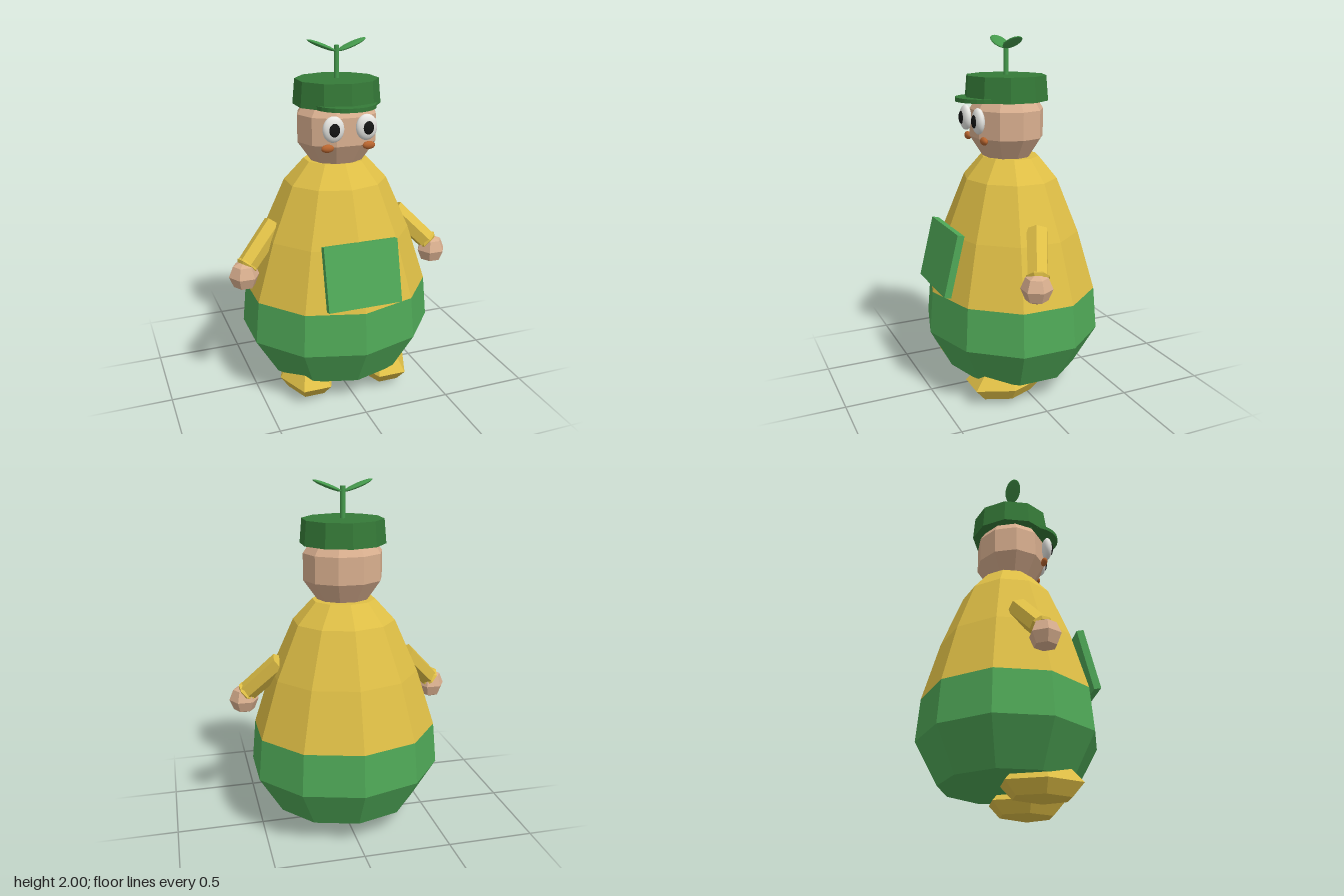
import * as THREE from 'three';

const flat = (name, color) => new THREE.MeshStandardMaterial({ name, color, flatShading: true });
const smooth = (name, color) => new THREE.MeshStandardMaterial({ name, color });

export function createModel() {
  const yellow = flat('yellow cloth', 0xdfbf46);
  const green = flat('green cloth', 0x4fa857);
  const darkGreen = flat('dark green hat', 0x357a38);
  const leafGreen = smooth('leaf green', 0x459a4c);
  const skin = flat('skin', 0xd9af8f);
  const white = smooth('eye white', 0xe6e6e2);
  const black = smooth('pupil black', 0x141414);
  const blush = smooth('cheek orange', 0xb8652f);

  const model = new THREE.Group();
  const add = (name, geometry, material, x = 0, y = 0, z = 0) => {
    const mesh = new THREE.Mesh(geometry, material);
    mesh.name = name;
    mesh.position.set(x, y, z);
    model.add(mesh);
    return mesh;
  };
  const ellipsoid = (rx, ry, rz, w, h) => new THREE.SphereGeometry(1, w, h).scale(rx, ry, rz);
  // Ten-sided body section, slightly wider than deep
  const section = (points) => new THREE.LatheGeometry(
    points.map(([r, y]) => new THREE.Vector2(r, y)), 10).scale(1.12, 1, 1);

  // Body
  add('lowerBody', section([[0, 0.13], [0.37, 0.13], [0.495, 0.36], [0.475, 0.6]]), green);
  add('upperBody', section([[0.475, 0.6], [0.38, 0.93], [0.26, 1.23], [0.16, 1.35], [0, 1.35]]), yellow);
  const pocket = add('frontPocket', new THREE.BoxGeometry(0.42, 0.35, 0.04), green, 0, 0.805, 0.418);
  pocket.rotation.x = -0.24;

  // Head
  add('head', ellipsoid(0.237, 0.243, 0.212, 10, 5), skin, 0, 1.535, 0.02);

  // Hat with brim and sprout
  add('hat', new THREE.CylinderGeometry(0.228, 0.24, 0.135, 10).scale(1, 1, 0.97), darkGreen, 0, 1.725, 0.022);
  add('hatBrim', new THREE.CylinderGeometry(0.17, 0.17, 0.022, 28), darkGreen, 0, 1.668, 0.14);
  add('sproutStem', new THREE.CylinderGeometry(0.014, 0.014, 0.19, 10), leafGreen, 0, 1.87, 0.022);

  for (const s of [1, -1]) {
    const side = s > 0 ? 'left' : 'right';

    // Sprout leaf
    const leaf = add(side + 'Leaf', ellipsoid(0.086, 0.012, 0.045, 20, 12), leafGreen, s * 0.085, 1.966, 0.022);
    leaf.rotation.z = s * 0.38;

    // Face
    add(side + 'Eye', ellipsoid(0.06, 0.07, 0.03, 20, 14), white, s * 0.093, 1.56, 0.225);
    add(side + 'Pupil', ellipsoid(0.03, 0.036, 0.012, 16, 10), black, s * 0.095, 1.56, 0.25);
    add(side + 'Cheek', ellipsoid(0.036, 0.022, 0.018, 14, 10), blush, s * 0.117, 1.455, 0.203);

    // Arm, cuff and hand
    const shoulder = new THREE.Vector3(s * 0.365, 1.0, 0.005);
    const wrist = new THREE.Vector3(s * 0.55, 0.81, 0.09);
    const along = wrist.clone().sub(shoulder);
    const turn = new THREE.Quaternion().setFromUnitVectors(
      new THREE.Vector3(0, -1, 0), along.clone().normalize());
    const mid = shoulder.clone().addScaledVector(along, 0.5);
    add(side + 'Arm', new THREE.CylinderGeometry(0.062, 0.058, along.length(), 6), yellow, mid.x, mid.y, mid.z)
      .quaternion.copy(turn);
    add(side + 'Cuff', new THREE.TorusGeometry(0.052, 0.014, 4, 8).rotateX(Math.PI / 2), yellow, wrist.x, wrist.y, wrist.z)
      .quaternion.copy(turn);
    add(side + 'Hand', ellipsoid(0.085, 0.085, 0.085, 6, 4), skin, s * 0.57, 0.76, 0.105);

    // Foot
    add(side + 'Foot', ellipsoid(0.16, 0.1, 0.23, 6, 4), yellow, s * 0.23, 0.1, 0.14);
  }
  return model;
}
